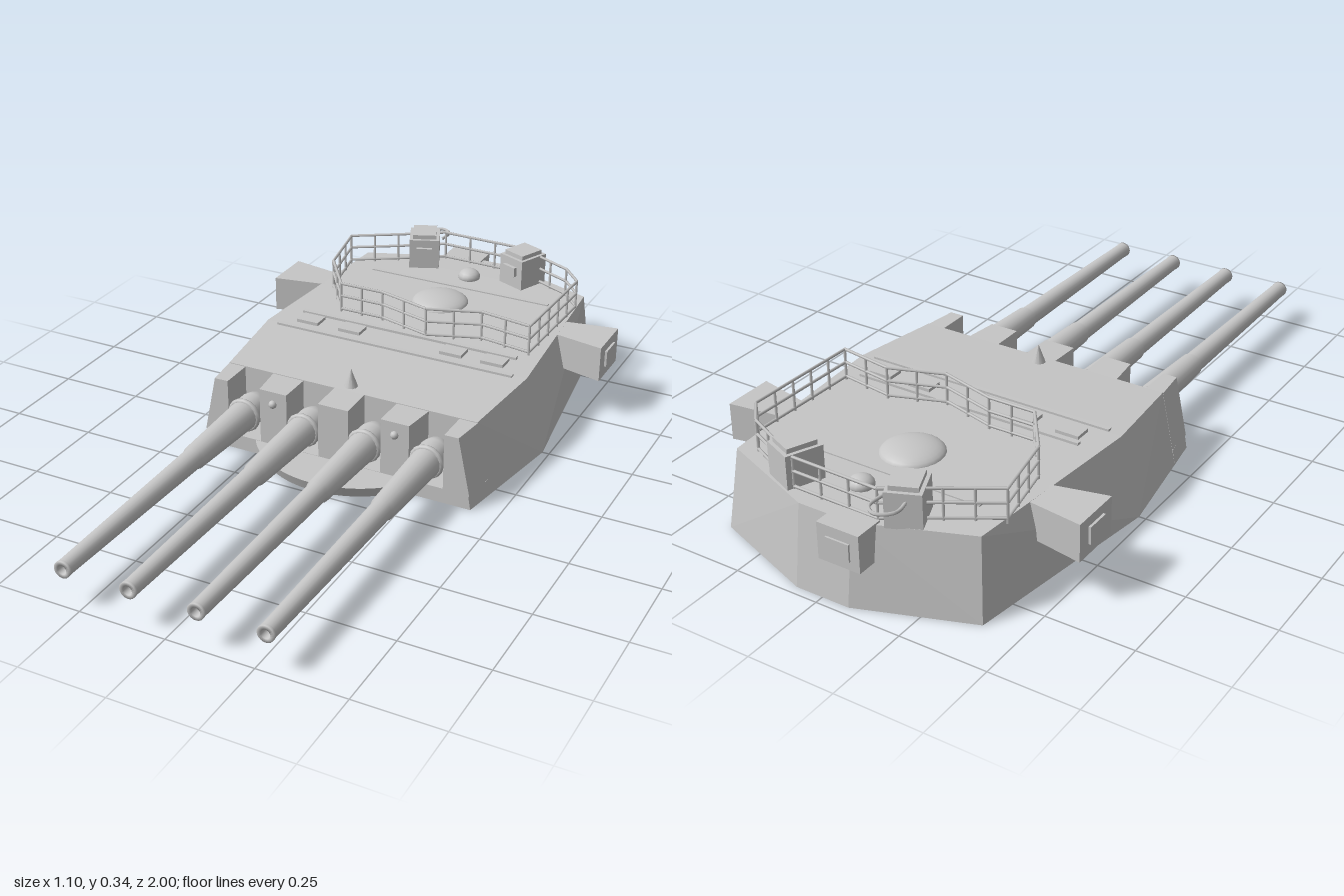
import * as THREE from 'three';
import { ConvexGeometry } from 'three/addons/geometries/ConvexGeometry.js';

const V = (x, y, z) => new THREE.Vector3(x, y, z);

export function createModel() {
  const turret = new THREE.Group();
  turret.name = 'gunTurret';
  const grey = new THREE.MeshStandardMaterial({ color: 0xc6c6c6 });
  grey.name = 'navalGrey';

  const add = (name, geometry, x = 0, y = 0, z = 0, parent = turret) => {
    const mesh = new THREE.Mesh(geometry, grey);
    mesh.name = name;
    mesh.position.set(x, y, z);
    parent.add(mesh);
    return mesh;
  };
  const convex = (name, pts) => add(name, new ConvexGeometry(pts.map(p => V(...p))));
  const mirror = pts => pts.flatMap(([x, y, z]) => [[x, y, z], [-x, y, z]]);
  const box = (w, h, d) => new THREE.BoxGeometry(w, h, d);
  const rod = (name, a, b, r, parent = turret) => {
    const m = add(name, new THREE.CylinderGeometry(r, r, a.distanceTo(b), 5), 0, 0, 0, parent);
    m.position.copy(a).add(b).multiplyScalar(0.5);
    m.quaternion.setFromUnitVectors(V(0, 1, 0), b.clone().sub(a).normalize());
  };

  // Armoured house: sloping sides and a pointed rear
  convex('armouredHouse', mirror([
    [0.436, 0, 0.03], [0.48, 0, -0.25], [0.395, 0, -0.86], [0.08, 0, -0.975],
    [0.39, 0.215, 0.03], [0.42, 0.226, -0.25], [0.375, 0.23, -0.83], [0.08, 0.23, -0.945],
  ]));

  // Front sill and the armour blocks between the gun slots
  convex('frontSill', mirror([
    [0.436, 0, 0.03], [0.42, 0, 0.13], [0.428, 0.045, 0.03], [0.412, 0.045, 0.13],
  ]));
  convex('centreBlock', mirror([
    [0.047, 0.04, 0.03], [0.047, 0.04, 0.13], [0.047, 0.215, 0.03], [0.047, 0.212, 0.13],
  ]));
  for (const s of [-1, 1]) {
    const block = (name, x0, bottom, top) => convex(name, [0.03, 0.13].flatMap(z => {
      const out = z > 0.1 ? 0.012 : 0;
      return [[x0, 0.04, z], [bottom - out, 0.04, z], [x0, 0.213, z], [top - out, 0.213, z]]
        .map(([x, y, zz]) => [s * x, y, zz]);
    }));
    block('middleBlock', 0.147, 0.245, 0.245);
    block('outerBlock', 0.337, 0.428, 0.391);
    add('frontSight', new THREE.SphereGeometry(0.012, 10, 8), s * 0.19, 0.175, 0.132);
  }

  // Rounded apron under the guns
  add('frontApron', new THREE.CylinderGeometry(0.3, 0.285, 0.034, 40, 1, false, -Math.PI / 2, Math.PI),
    0, 0.027, -0.035);

  // Four long guns with hollow muzzles
  const barrel = [[0, 0.0], [0.025, 0.008], [0.04, 0.025], [0.046, 0.05], [0.043, 0.13],
    [0.035, 0.37], [0.031, 0.38], [0.023, 0.97], [0.024, 0.972], [0.024, 0.98],
    [0.013, 0.98], [0.011, 0.93], [0, 0.93]].map(p => new THREE.Vector2(...p));
  for (const x of [-0.292, -0.1, 0.092, 0.282]) {
    const gun = new THREE.Group();
    gun.name = 'gun';
    gun.position.set(x, 0.11, 0.02);
    turret.add(gun);
    add('barrel', new THREE.LatheGeometry(barrel, 20), 0, 0, 0, gun).rotation.x = Math.PI / 2;
    add('blastCollar', new THREE.TorusGeometry(0.043, 0.009, 8, 16), 0, 0, 0.1, gun);
  }

  // Rangefinder arms, flared towards their outer ends
  for (const s of [-1, 1]) {
    convex('rangefinderArm', [
      [0.38, 0.126, -0.55], [0.38, 0.126, -0.64], [0.38, 0.228, -0.55], [0.38, 0.228, -0.64],
      [0.545, 0.122, -0.515], [0.545, 0.122, -0.665], [0.545, 0.23, -0.515], [0.545, 0.23, -0.665],
    ].map(([x, y, z]) => [s * x, y, z]));
    add('rangefinderLens', box(0.012, 0.05, 0.07), s * 0.546, 0.178, -0.59);
  }

  // Roof seams, domes and fittings
  add('roofSeam', box(0.76, 0.008, 0.014), 0, 0.228, -0.24);
  add('roofSeam', box(0.7, 0.008, 0.014), 0, 0.23, -0.345);
  add('roofSeam', box(0.6, 0.006, 0.012), 0, 0.23, -0.72);
  for (const x of [-0.3, -0.16, 0.17, 0.3])
    add('roofHatch', box(0.07, 0.012, 0.05), x, 0.23, -0.3);
  add('roofDome', new THREE.SphereGeometry(0.088, 24, 8, 0, Math.PI * 2, 0, Math.PI / 2),
    -0.01, 0.225, -0.6).scale.y = 0.35;
  add('roofVent', new THREE.SphereGeometry(0.035, 14, 10), 0, 0.235, -0.8).scale.y = 0.7;
  add('sightCone', new THREE.ConeGeometry(0.022, 0.06, 10), -0.01, 0.24, 0.0);

  // Director housings at the rear corners of the platform
  for (const s of [-1, 1]) {
    const housing = new THREE.Group();
    housing.name = 'directorHousing';
    housing.position.set(s * 0.17 - 0.01, 0.225, -0.85);
    housing.rotation.y = -s * 0.4;
    turret.add(housing);
    add('housingBody', box(0.095, 0.1, 0.105), 0, 0.05, 0, housing);
    add('housingLid', box(0.075, 0.015, 0.085), 0, 0.106, 0, housing);
    add('housingSight', box(0.05, 0.03, 0.015), 0, 0.06, 0.056, housing);
  }

  // Rear locker and grab loop
  add('rearLocker', box(0.125, 0.105, 0.085), -0.075, 0.183, -0.95);
  add('lockerPlate', box(0.07, 0.05, 0.01), -0.075, 0.18, -0.993);
  const loop = new THREE.CatmullRomCurve3([V(-0.2, 0.3, -0.87), V(-0.21, 0.3, -0.94),
    V(-0.17, 0.3, -0.97), V(-0.14, 0.3, -0.95), V(-0.14, 0.3, -0.89)]);
  add('grabLoop', new THREE.TubeGeometry(loop, 20, 0.005, 5));

  // Platform railing: posts and three rails round a closed path
  const railing = new THREE.Group();
  railing.name = 'railing';
  turret.add(railing);
  const path = [[-0.39, -0.74], [-0.35, -0.54], [-0.25, -0.4], [-0.11, -0.4], [0.055, -0.354],
    [0.21, -0.41], [0.37, -0.385], [0.38, -0.74], [0.32, -0.81], [0.13, -0.9], [-0.13, -0.905],
    [-0.26, -0.82]];
  path.forEach(([x0, z0], i) => {
    const [x1, z1] = path[(i + 1) % path.length];
    for (const y of [0.237, 0.28, 0.32])
      rod('rail', V(x0, y, z0), V(x1, y, z1), 0.0045, railing);
    const n = Math.max(1, Math.round(Math.hypot(x1 - x0, z1 - z0) / 0.075));
    for (let k = 0; k < n; k++) {
      const x = x0 + (x1 - x0) * k / n, z = z0 + (z1 - z0) * k / n;
      rod('railPost', V(x, 0.222, z), V(x, 0.322, z), 0.004, railing);
    }
  });

  return turret;
}
